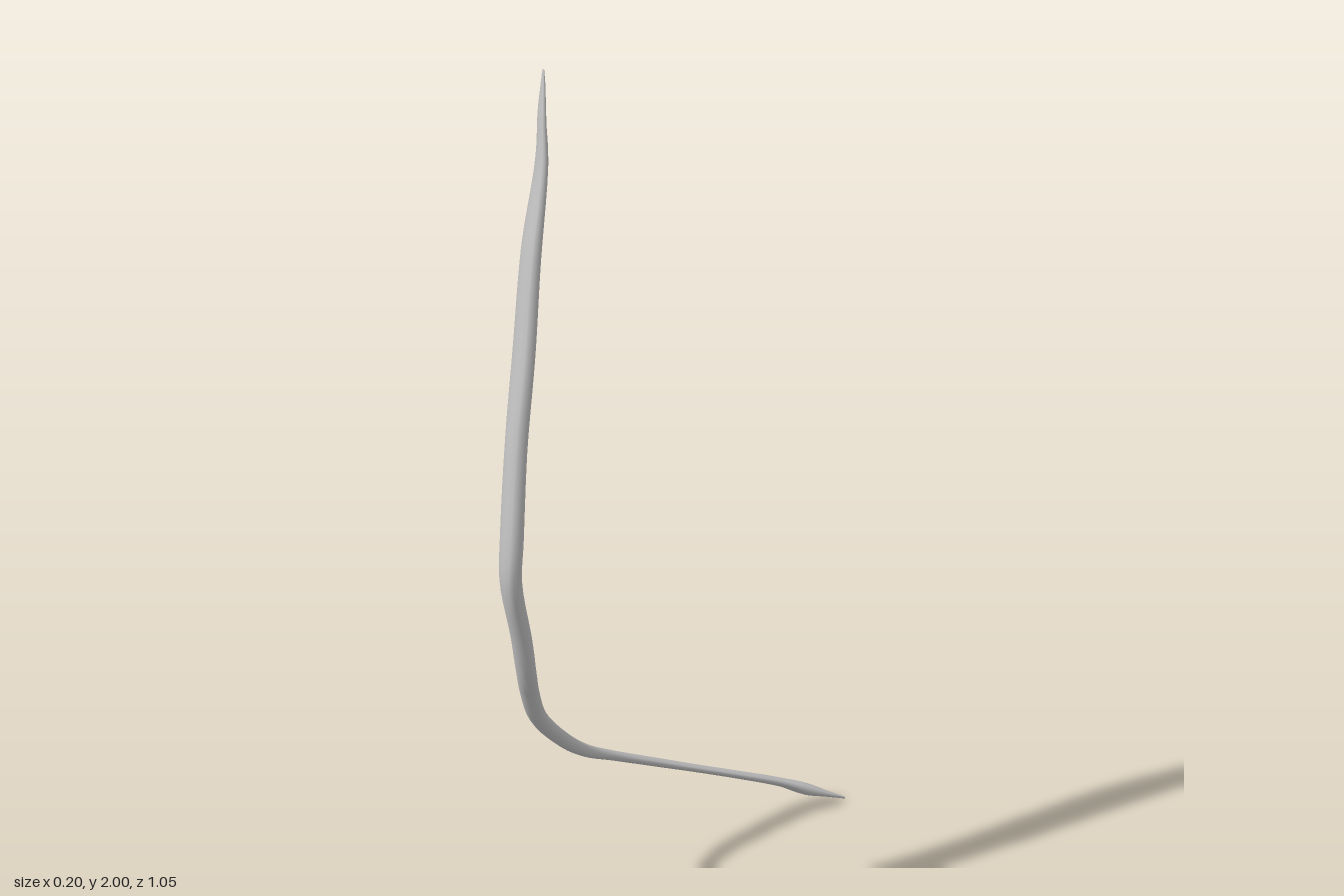
import * as THREE from 'three';

// Stations from the low tip to the high tip:
// x, y, z of the centre, half width, half thickness, turn of the wide side (degrees)
const STATIONS = [
  [0.093, 0.003, -0.523, 0.003, 0.002, 0],
  [0.076, 0.018, -0.497, 0.02, 0.005, 0],
  [0.053, 0.045, -0.45, 0.022, 0.011, 0],
  [0.03, 0.076, -0.4, 0.02, 0.008, 0],
  [-0.002, 0.13, -0.3, 0.019, 0.007, 0],
  [-0.03, 0.183, -0.2, 0.018, 0.007, 0],
  [-0.057, 0.236, -0.1, 0.017, 0.008, 0],
  [-0.078, 0.29, 0, 0.016, 0.009, 0],
  [-0.087, 0.342, 0.09, 0.014, 0.012, 0],
  [-0.087, 0.4, 0.165, 0.014, 0.014, 0],
  [-0.077, 0.5, 0.269, 0.017, 0.016, -10],
  [-0.056, 0.59, 0.334, 0.019, 0.017, -25],
  [-0.04, 0.65, 0.371, 0.022, 0.018, -35],
  [-0.023, 0.75, 0.417, 0.028, 0.019, -50],
  [-0.009, 0.9, 0.477, 0.038, 0.02, -50],
  [0.003, 1.0, 0.493, 0.04, 0.021, -49],
  [0.017, 1.2, 0.501, 0.035, 0.02, -45],
  [0.031, 1.4, 0.496, 0.04, 0.019, -45],
  [0.043, 1.6, 0.492, 0.041, 0.017, -47],
  [0.066, 1.8, 0.492, 0.033, 0.011, -50],
  [0.071, 1.9, 0.5, 0.021, 0.007, -47],
  [0.077, 1.97, 0.506, 0.009, 0.004, -45],
  [0.078, 2.0, 0.507, 0.003, 0.002, -45],
];

// Sweeps a flattened oval along the bent centre line
function bladeGeometry(rings = 110, sides = 14) {
  const path = new THREE.CatmullRomCurve3(STATIONS.map(s => new THREE.Vector3(s[0], s[1], s[2])));
  const sizes = new THREE.CatmullRomCurve3(
    STATIONS.map(s => new THREE.Vector3(s[3], s[4], THREE.MathUtils.degToRad(s[5]))), false, 'catmullrom', 0.4);
  const positions = [], index = [];

  for (let i = 0; i <= rings; i++) {
    const k = i / rings;
    const centre = path.getPoint(k), tangent = path.getTangent(k), size = sizes.getPoint(k);
    const wide = new THREE.Vector3(Math.cos(size.z), 0, -Math.sin(size.z));
    wide.addScaledVector(tangent, -wide.dot(tangent)).normalize();
    const thin = new THREE.Vector3().crossVectors(tangent, wide);
    for (let j = 0; j < sides; j++) {
      const a = (j / sides) * Math.PI * 2;
      const p = centre.clone()
        .addScaledVector(wide, Math.max(size.x, 0.001) * Math.cos(a))
        .addScaledVector(thin, Math.max(size.y, 0.001) * Math.sin(a));
      positions.push(p.x, p.y, p.z);
    }
  }
  for (let i = 0; i < rings; i++) {
    for (let j = 0; j < sides; j++) {
      const a = i * sides + j, b = i * sides + (j + 1) % sides;
      index.push(a, b, b + sides, a, b + sides, a + sides);
    }
  }
  // Close both tips
  const last = rings * sides;
  for (let j = 1; j < sides - 1; j++) {
    index.push(0, j + 1, j, last, last + j, last + j + 1);
  }

  const geometry = new THREE.BufferGeometry();
  geometry.setAttribute('position', new THREE.Float32BufferAttribute(positions, 3));
  geometry.setIndex(index);
  geometry.computeVertexNormals();
  return geometry;
}

export function createModel() {
  const group = new THREE.Group();
  group.name = 'curvedBlade';
  const blade = new THREE.Mesh(bladeGeometry(), new THREE.MeshStandardMaterial({ color: 0xcccccc }));
  blade.name = 'blade';
  group.add(blade);
  return group;
}
